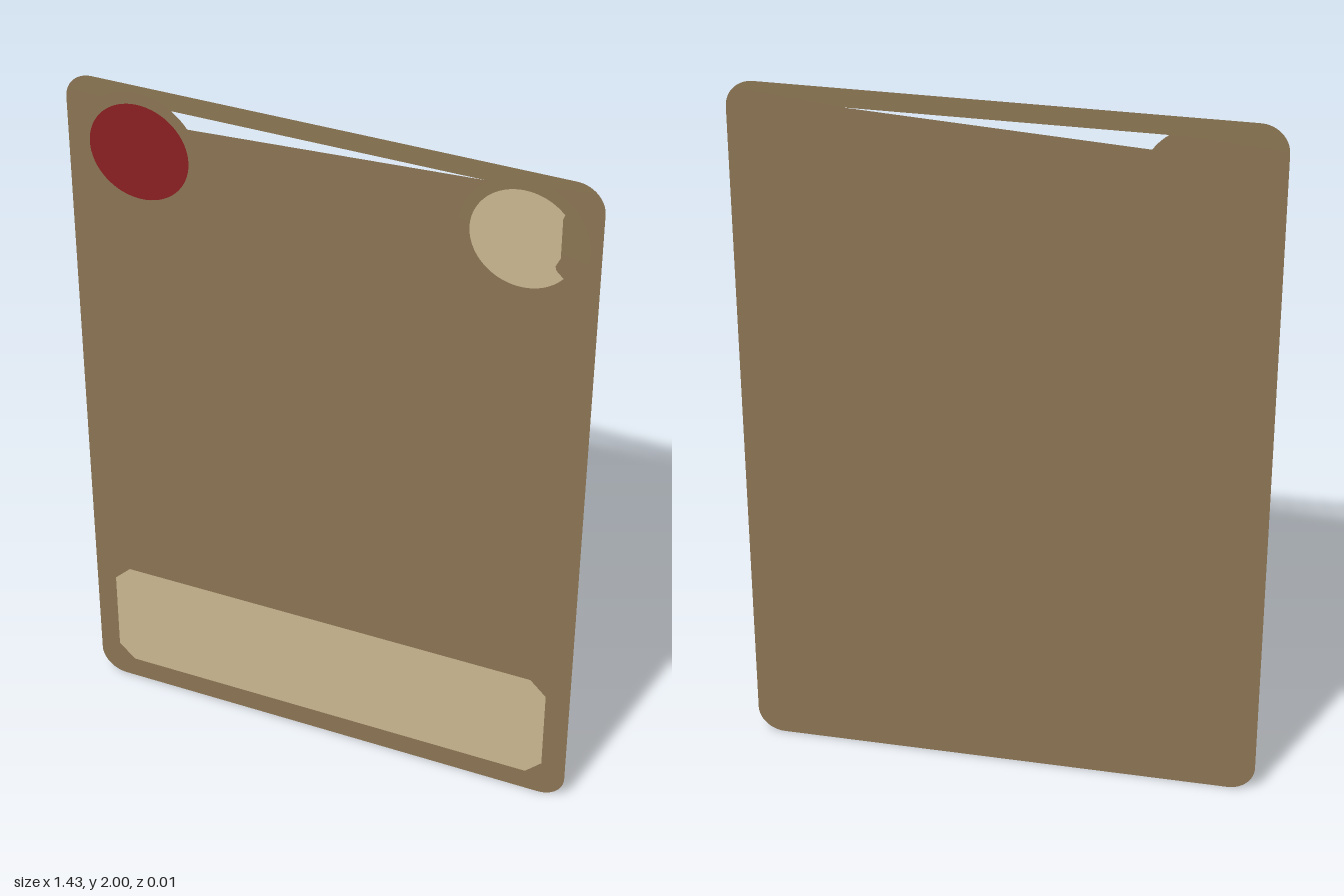
import * as THREE from 'three';

const flat = (name, color) => {
  const m = new THREE.MeshStandardMaterial({ color, side: THREE.DoubleSide });
  m.name = name;
  return m;
};

// Outline from a list of corner points
const polygon = (points) => new THREE.Shape(points.map(([x, y]) => new THREE.Vector2(x, y)));

// Card outline with rounded corners, standing on y = 0
function roundedCard(w, h, r) {
  const s = new THREE.Shape();
  s.absarc(w - r, r, r, -Math.PI / 2, 0);
  s.absarc(w - r, h - r, r, 0, Math.PI / 2);
  s.absarc(-w + r, h - r, r, Math.PI / 2, Math.PI);
  s.absarc(-w + r, r, r, Math.PI, Math.PI * 1.5);
  s.closePath();
  return s;
}

export function createModel() {
  const group = new THREE.Group();
  const brown = flat('brown card', 0x8b7553);
  const cream = flat('cream paper', 0xc9b691);
  const red = flat('dark red', 0x8a2022);

  const add = (name, geometry, material, x, y, z) => {
    const mesh = new THREE.Mesh(geometry, material);
    mesh.name = name;
    mesh.position.set(x, y, z);
    group.add(mesh);
  };

  // Card sheet with a tapering slit along the top
  const card = roundedCard(0.713, 2, 0.075);
  card.holes.push(polygon([[0.41, 1.949], [-0.45, 1.949], [-0.45, 1.902]]));
  add('card', new THREE.ShapeGeometry(card, 12), brown, 0, 0, -0.007);

  // Round backings in the two top corners
  for (const side of [-1, 1]) {
    add(side < 0 ? 'rightBacking' : 'leftBacking', new THREE.CircleGeometry(0.17, 64), brown, side * 0.515, 1.81, -0.004);
  }

  // Red disc on the model's right
  add('redDisc', new THREE.CircleGeometry(0.138, 64), red, -0.512, 1.812, 0);

  // Cream disc on the model's left, with a notched outer edge
  const disc = new THREE.Shape();
  disc.absarc(0, 0, 0.138, 0.74, Math.PI * 2 - 0.68);
  for (const [x, y] of [[0.088, -0.068], [0.085, -0.056], [0.097, -0.03], [0.097, 0.082]]) disc.lineTo(x, y);
  disc.closePath();
  add('creamDisc', new THREE.ShapeGeometry(disc, 48), cream, 0.515, 1.812, 0.001);

  // Label panel with cut corners
  const w = 0.648, h = 0.17, c = 0.046;
  const label = polygon([
    [-w + c, -h], [w - c, -h], [w, -h + c], [w, h - c],
    [w - c, h], [-w + c, h], [-w, h - c], [-w, -h + c],
  ]);
  add('labelPanel', new THREE.ShapeGeometry(label), cream, 0, 0.247, 0.006);

  return group;
}
